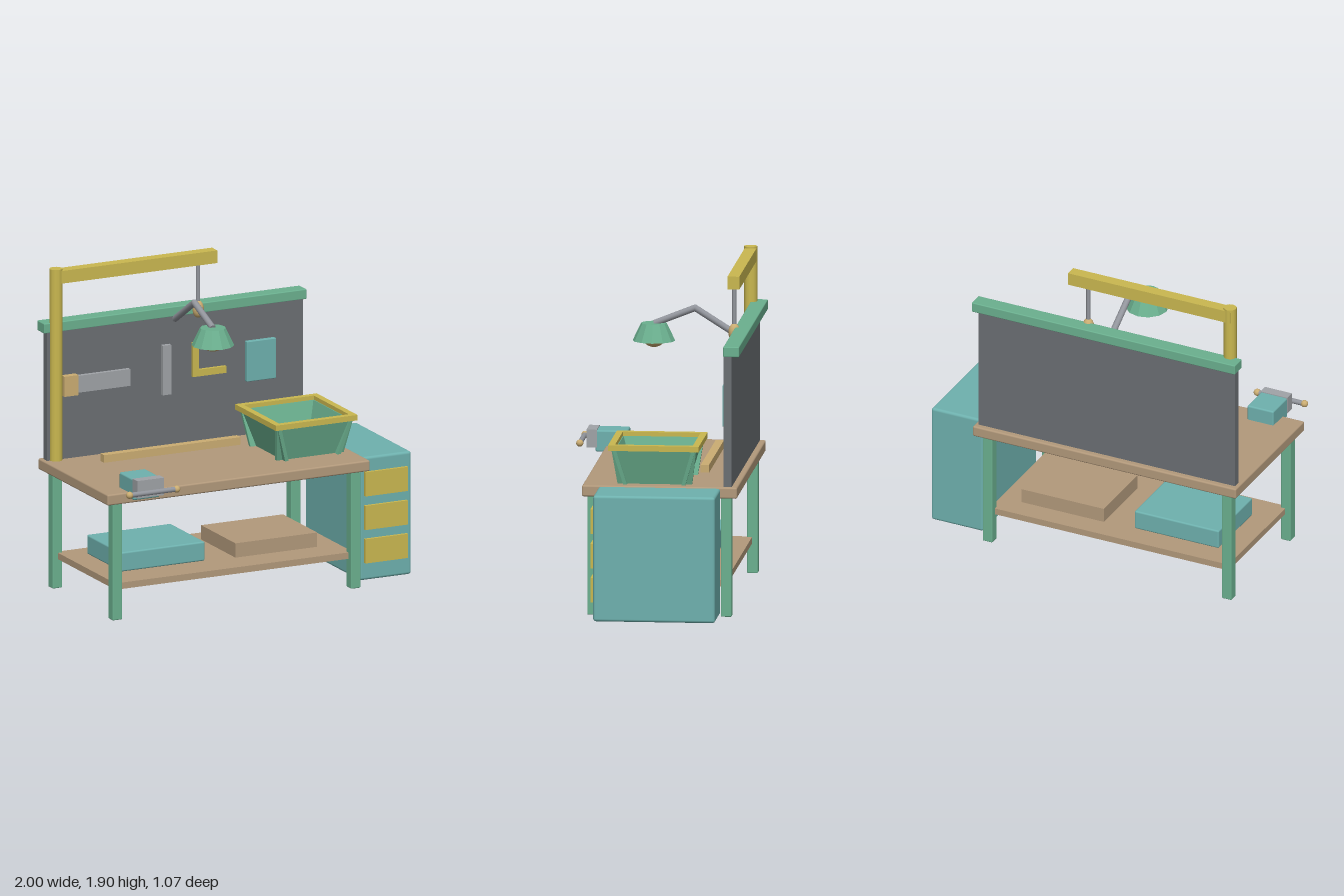
import * as THREE from 'three';
import { RoundedBoxGeometry } from 'three/addons/geometries/RoundedBoxGeometry.js';

const mat = (name, color) => {
  const m = new THREE.MeshStandardMaterial({ color });
  m.name = name;
  return m;
};

export function createModel() {
  const green = mat('green paint', 0x6bb08f);
  const teal = mat('teal paint', 0x6eb1ae);
  const yellow = mat('yellow paint', 0xcab850);
  const wood = mat('brown wood', 0xb2997b);
  const slate = mat('slate panel', 0x6b6f73);
  const silver = mat('light metal', 0xa0a3a7);
  const steel = mat('steel rod', 0x92959c);
  const tan = mat('tan wood', 0xcbad72);

  const root = new THREE.Group();
  root.name = 'workbench';

  const add = (name, geo, material, x = 0, y = 0, z = 0, parent = root) => {
    const m = new THREE.Mesh(geo, material);
    m.name = name;
    m.position.set(x, y, z);
    parent.add(m);
    return m;
  };
  // Box given by its limits on each axis, with an optional edge radius
  const box = (name, material, [x0, x1], [y0, y1], [z0, z1], r = 0, parent = root) => {
    const s = [x1 - x0, y1 - y0, z1 - z0];
    const geo = r ? new RoundedBoxGeometry(...s, 2, r) : new THREE.BoxGeometry(...s);
    return add(name, geo, material, (x0 + x1) / 2, (y0 + y1) / 2, (z0 + z1) / 2, parent);
  };
  // Cylinder between two points
  const rod = (name, material, a, b, r, parent = root) => {
    const p = new THREE.Vector3(...a), q = new THREE.Vector3(...b);
    const d = q.clone().sub(p);
    const mid = p.clone().add(q).multiplyScalar(0.5);
    const m = add(name, new THREE.CylinderGeometry(r, r, d.length(), 12), material, mid.x, mid.y, mid.z, parent);
    m.quaternion.setFromUnitVectors(new THREE.Vector3(0, 1, 0), d.normalize());
    return m;
  };
  const ball = (name, material, x, y, z, r, ry = r, parent = root) => {
    const m = add(name, new THREE.SphereGeometry(r, 14, 10), material, x, y, z, parent);
    m.scale.y = ry / r;
    return m;
  };
  const group = (name, x = 0, y = 0, z = 0) => {
    const g = new THREE.Group();
    g.name = name;
    g.position.set(x, y, z);
    root.add(g);
    return g;
  };

  // Bench frame
  box('tableTop', wood, [-1, 0.685], [0.695, 0.76], [-0.525, 0.37], 0.01);
  for (const x of [-0.923, 0.607])
    for (const z of [-0.458, 0.312])
      box('leg', green, [x - 0.031, x + 0.031], [0, 0.7], [z - 0.031, z + 0.031], 0.006);
  box('lowerShelf', wood, [-0.92, 0.605], [0.172, 0.21], [-0.455, 0.31]);

  // Boxes stored on the shelf
  box('tealCase', teal, [-0.79, -0.25], [0.215, 0.33], [-0.32, 0.12], 0.01);
  box('woodCrate', wood, [-0.055, 0.47], [0.21, 0.295], [-0.32, 0.12]);

  // Drawer cabinet
  const cabinet = group('cabinet');
  box('cabinetBody', teal, [0.665, 0.998], [0.02, 0.753], [-0.428, 0.275], 0.016, cabinet);
  for (const y of [0.197, 0.396, 0.596])
    box('drawerFront', yellow, [0.693, 0.965], [y - 0.072, y + 0.072], [0.26, 0.293], 0, cabinet);

  // Back panel and its rail
  box('backPanel', slate, [-0.98, 0.663], [0.76, 1.53], [-0.492, -0.446]);
  box('topRail', green, [-1, 0.685], [1.519, 1.579], [-0.537, -0.445], 0.006);

  // Hoist post, arm, cord and pull
  const hoist = group('hoist');
  rod('post', yellow, [-0.925, 0.76, -0.445], [-0.925, 1.9, -0.445], 0.038, hoist);
  box('hoistArm', yellow, [-0.945, 0.095], [1.815, 1.89], [-0.48, -0.412], 0, hoist);
  rod('cord', steel, [-0.015, 1.55, -0.44], [-0.015, 1.82, -0.44], 0.012, hoist);
  ball('cordPull', tan, -0.015, 1.549, -0.44, 0.034, 0.052, hoist);

  // Desk lamp
  const lamp = group('lamp', -0.158, 0, 0);
  rod('lampLowerArm', steel, [0, 1.505, -0.45], [0, 1.663, -0.2], 0.019, lamp);
  rod('lampUpperArm', steel, [0, 1.663, -0.2], [0, 1.57, 0.035], 0.019, lamp);
  ball('lampJoint', steel, 0, 1.663, -0.2, 0.019, 0.019, lamp);
  const shadeGreen = green.clone();
  shadeGreen.name = 'green lampshade';
  shadeGreen.flatShading = true;
  shadeGreen.side = THREE.DoubleSide;
  const shadeProfile = [[0.123, 1.47], [0.074, 1.572], [0, 1.572]].map(p => new THREE.Vector2(...p));
  add('lampShade', new THREE.LatheGeometry(shadeProfile, 12), shadeGreen, 0, 0, 0.037, lamp);
  ball('bulb', tan, 0, 1.485, 0.037, 0.065, 0.053, lamp);

  // Tools hanging on the panel
  const tools = group('hangingTools');
  box('malletHead', tan, [-0.89, -0.8], [1.14, 1.26], [-0.45, -0.405], 0, tools);
  box('malletHandle', silver, [-0.8, -0.46], [1.15, 1.25], [-0.45, -0.42], 0, tools);
  box('file', silver, [-0.25, -0.197], [1.067, 1.362], [-0.45, -0.42], 0, tools);
  const corner = new THREE.Shape(
    [[0, 0], [0.215, 0], [0.215, 0.04], [0.04, 0.04], [0.04, 0.203], [0, 0.203]].map(p => new THREE.Vector2(...p)));
  add('trySquare', new THREE.ExtrudeGeometry(corner, { depth: 0.025, bevelEnabled: false }),
    yellow, -0.055, 1.15, -0.45, tools);
  box('sandingBlock', teal, [0.289, 0.478], [1.08, 1.32], [-0.45, -0.42], 0.005, tools);

  // Straight stick lying on the bench
  box('stick', tan, [-0.705, 0.17], [0.76, 0.805], [-0.313, -0.265]);

  // Open bin with four leaning trapezoid walls
  const bin = group('bin', 0.417, 0.76, -0.042);
  const wall = new THREE.BoxGeometry(2, 0.21, 0.022);
  const wp = wall.attributes.position;
  for (let i = 0; i < wp.count; i++) {
    const t = wp.getY(i) / 0.21 + 0.5;
    wp.setX(i, wp.getX(i) * (0.215 + 0.03 * t));
    wp.setY(i, 0.21 * t);
    wp.setZ(i, wp.getZ(i) + 0.168 + 0.062 * t);
  }
  wall.computeVertexNormals();
  for (let i = 0; i < 4; i++) add('binWall', wall, green, 0, 0, 0, bin).rotation.y = i * Math.PI / 2;
  // Rim frame around the bin opening
  const square = (P, h) => new P([[-h, -h], [h, -h], [h, h], [-h, h]].map(p => new THREE.Vector2(...p)));
  const rimShape = square(THREE.Shape, 0.262);
  rimShape.holes.push(square(THREE.Path, 0.224));
  const rim = add('binRim', new THREE.ExtrudeGeometry(rimShape, { depth: 0.032, bevelEnabled: false }),
    yellow, 0, 0.202, 0, bin);
  rim.rotation.x = -Math.PI / 2;

  // Bench vise with its turning handle
  const vise = group('vise');
  box('viseBody', teal, [-0.863, -0.695], [0.725, 0.85], [0.243, 0.428], 0.01, vise);
  box('viseJaw', silver, [-0.865, -0.693], [0.75, 0.854], [0.42, 0.48], 0, vise);
  rod('viseHandle', steel, [-0.93, 0.786, 0.512], [-0.628, 0.786, 0.512], 0.015, vise);
  for (const x of [-0.93, -0.628]) ball('handleKnob', tan, x, 0.786, 0.512, 0.021, 0.021, vise);

  return root;
}
